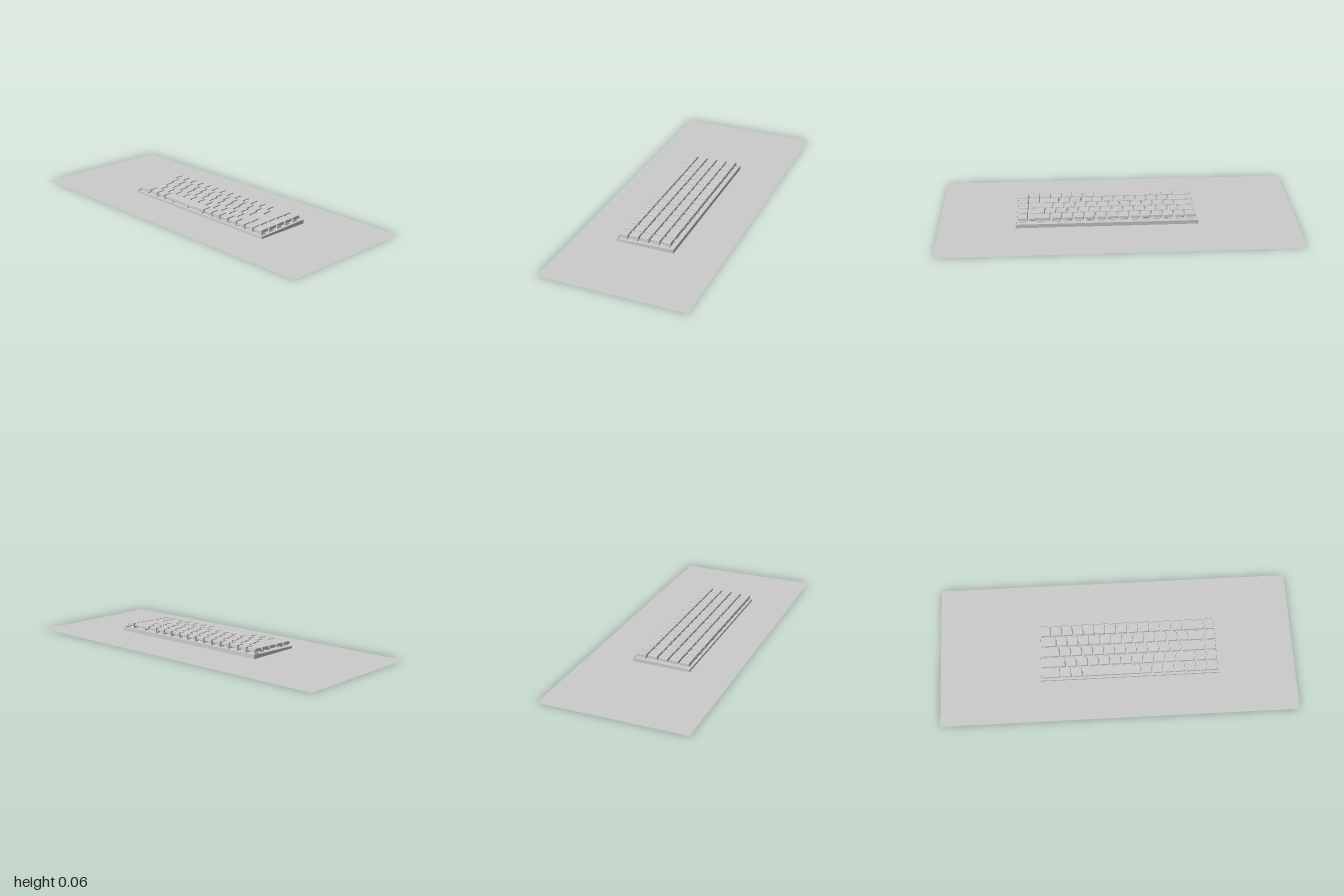
import * as THREE from 'three';

const grey = new THREE.MeshStandardMaterial({ color: 0xcccccc });
const matGrey = new THREE.MeshStandardMaterial({ color: 0xcccccc, side: THREE.DoubleSide });

const UNIT = 0.0621, GAP = 0.007;      // key pitch and gap
const CX = 0.0665, CZ = 0.014;         // keyboard centre
const W = 1.012, D = 0.328;            // case footprint
const TILT = 0.032;
const rise = z => -TILT * (z - 0.02);  // height gained towards the back

// Key widths per row, back to front
const ones = n => Array(n).fill(1);
const ROWS = [
  { z: -0.102, keys: [...ones(13), 2, 1] },
  { z: -0.041, keys: [1.5, ...ones(12), 1.5, 1] },
  { z: 0.020, keys: [1.75, ...ones(11), 2.25, 1] },
  { z: 0.081, keys: [2.25, ...ones(10), 1.75, 1, 1] },
  { z: 0.142, keys: [1.75, 1, 1, 5.25, ...ones(7)] },
];

function add(parent, name, geometry, x = 0, y = 0, z = 0, material = grey) {
  const mesh = new THREE.Mesh(geometry, material);
  mesh.name = name;
  mesh.position.set(x, y, z);
  parent.add(mesh);
  return mesh;
}

function roundedRect(w, d, r, Kind = THREE.Shape) {
  const s = new Kind(), x = w / 2 - r, y = d / 2 - r;
  s.absarc(x, y, r, 0, Math.PI / 2);
  s.absarc(-x, y, r, Math.PI / 2, Math.PI);
  s.absarc(-x, -y, r, Math.PI, Math.PI * 1.5);
  s.absarc(x, -y, r, Math.PI * 1.5, Math.PI * 2);
  s.closePath();
  return s;
}

// Moves the vertices of a geometry by a rule
function reshape(geometry, rule) {
  const p = geometry.attributes.position, v = new THREE.Vector3();
  for (let i = 0; i < p.count; i++) {
    rule(v.fromBufferAttribute(p, i));
    p.setXYZ(i, v.x, v.y, v.z);
  }
  geometry.computeVertexNormals();
  return geometry;
}

// Upright slab from an outline in plan
const slab = (shape, height) =>
  new THREE.ExtrudeGeometry(shape, { depth: height, bevelEnabled: false, curveSegments: 3 }).rotateX(-Math.PI / 2);

// Keycap: slightly tapered, with a bevelled top edge
function capGeometry(units) {
  const w = units * UNIT - GAP, d = UNIT - GAP, b = 0.0015, h = 0.0175;
  const g = new THREE.ExtrudeGeometry(roundedRect(w - 2 * b, d - 2 * b, 0.003), {
    depth: h - 2 * b, bevelSize: b, bevelThickness: b, bevelSegments: 1, curveSegments: 2,
  }).rotateX(-Math.PI / 2).translate(0, b, 0);
  return reshape(g, v => {
    const t = 1 - v.y / h;
    v.x -= Math.sign(v.x) * 0.0015 * (1 - t);
    v.z -= Math.sign(v.z) * 0.0015 * (1 - t);
  });
}

function buildCase() {
  const g = new THREE.Group();
  g.name = 'case';

  // Rim around the keys, its top sloping up to the back
  const outline = roundedRect(W, D, 0.004);
  outline.holes.push(roundedRect(W - 0.014, D - 0.014, 0.003, THREE.Path));
  const rim = reshape(slab(outline, 0.017), v => { if (v.y > 0.01) v.y += rise(v.z + CZ); });
  add(g, 'rim', rim, CX, 0.014, CZ);

  // Switch plate inside the rim
  const plate = reshape(new THREE.BoxGeometry(W - 0.012, 0.008, D - 0.012), v => {
    if (v.y > 0) v.y += rise(v.z + CZ);
  });
  add(g, 'switchPlate', plate, CX, 0.0215, CZ);

  // Underside, drawn in towards the bottom
  const tray = reshape(new THREE.BoxGeometry(W, 0.0085, D), v => {
    if (v.y < 0) { v.x *= 1 - 0.05 / W; v.z *= 1 - 0.052 / D; }
  });
  add(g, 'bottomTray', tray, CX, 0.00975, CZ);

  // Feet
  for (const sx of [-1, 1])
    for (const sz of [-1, 1])
      add(g, 'foot', new THREE.BoxGeometry(0.08, 0.006, 0.016), CX + sx * 0.4, 0.003, CZ + sz * 0.115);

  // Cable socket on the back
  const socket = new THREE.ExtrudeGeometry(roundedRect(0.034, 0.01, 0.0045), { depth: 0.002, bevelEnabled: false });
  add(g, 'socket', socket, -0.32, 0.023, CZ - D / 2 - 0.001);
  return g;
}

function buildKeys() {
  const g = new THREE.Group();
  g.name = 'keys';
  const caps = {};
  const housing = reshape(new THREE.BoxGeometry(0.036, 0.008, 0.036), v => {
    if (v.y > 0) { v.x *= 0.88; v.z *= 0.88; }
  });
  const stem = new THREE.BoxGeometry(0.018, 0.008, 0.018);
  const arrow = new THREE.ExtrudeGeometry(
    new THREE.Shape([[-0.004, -0.003], [0.004, -0.003], [0, 0.004]].map(p => new THREE.Vector2(...p))),
    { depth: 0.001, bevelEnabled: false }).rotateX(-Math.PI / 2);

  ROWS.forEach(({ z, keys }, row) => {
    let left = CX - 8 * UNIT;
    keys.forEach((units, i) => {
      const key = new THREE.Group();
      key.name = 'key';
      key.position.set(left + units * UNIT / 2, 0.0415 + rise(z), z);
      key.rotation.x = TILT;
      left += units * UNIT;
      caps[units] ??= capGeometry(units);
      add(key, 'keycap', caps[units]);

      // Wide keys rest on extra supports beside the switch
      const supports = units >= 5 ? [-0.12, 0, 0.12] : [0];
      for (const x of supports) {
        add(key, 'switchHousing', housing, x, -0.012, 0);
        add(key, 'switchStem', stem, x, -0.004, 0);
      }

      // Raised direction marks on the arrow cluster
      const fromEnd = keys.length - 1 - i;
      let turn = null;
      if (row === 3 && fromEnd === 1) turn = 0;
      if (row === 4 && fromEnd < 3) turn = [-Math.PI / 2, Math.PI, Math.PI / 2][fromEnd];
      if (turn !== null) add(key, 'arrowMark', arrow, 0, 0.0172, 0).rotation.y = turn;
      g.add(key);
    });
  });
  return g;
}

export function createModel() {
  const model = new THREE.Group();
  model.name = 'keyboardOnDeskMat';
  add(model, 'deskMat', new THREE.PlaneGeometry(2, 0.816).rotateX(-Math.PI / 2), 0, 0, 0, matGrey);
  const keyboard = new THREE.Group();
  keyboard.name = 'keyboard';
  keyboard.add(buildCase(), buildKeys());
  model.add(keyboard);
  return model;
}
